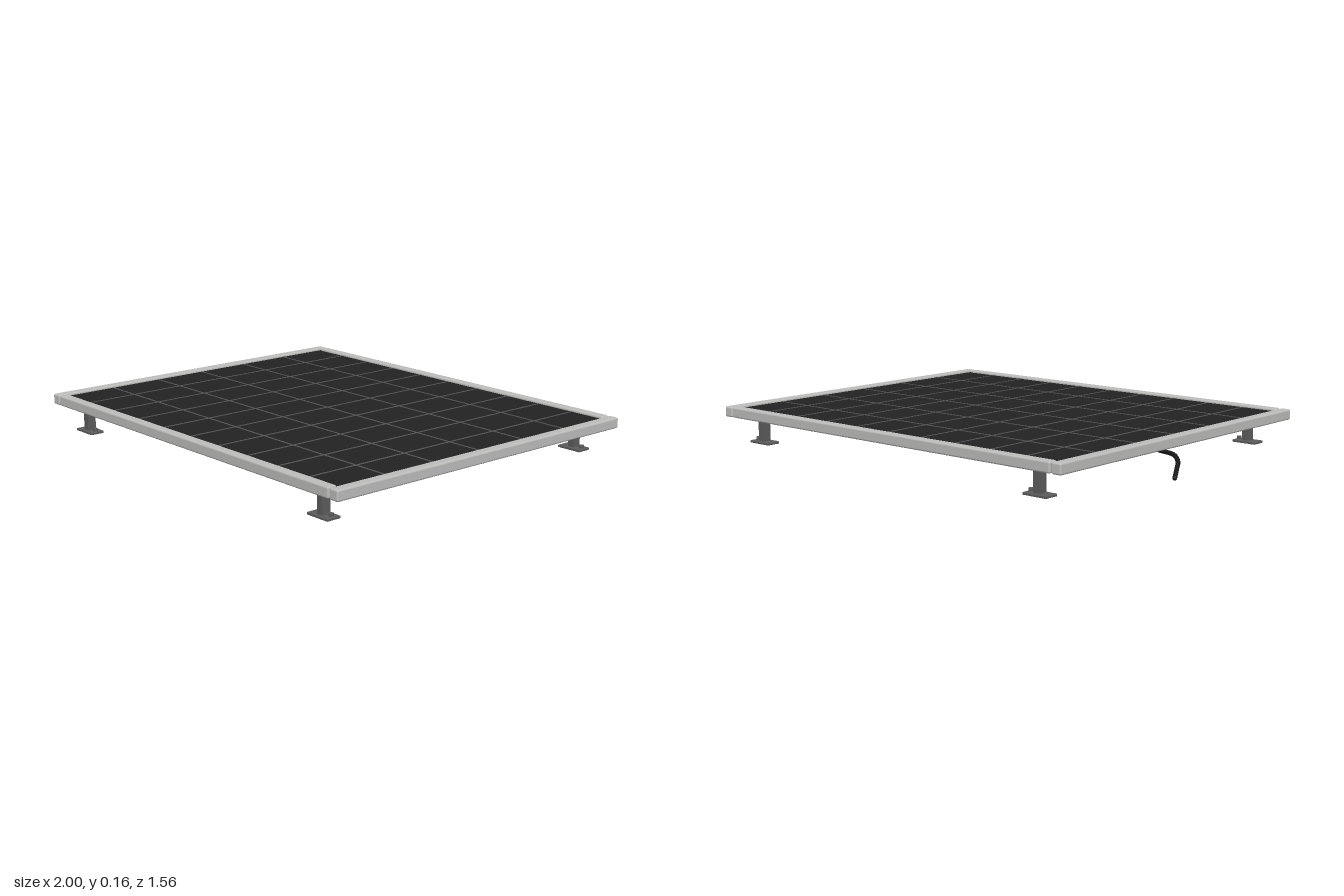
import * as THREE from 'three';
import { RoundedBoxGeometry } from 'three/addons/geometries/RoundedBoxGeometry.js';

const mat = (name, color) => {
  const m = new THREE.MeshStandardMaterial({ color });
  m.name = name;
  return m;
};

export function createModel() {
  const aluminium = mat('aluminium', 0xbcbdbb);
  const darkCell = mat('dark cell', 0x222222);
  const gridGrey = mat('grid grey', 0x555555);
  const steel = mat('dark steel', 0x5c5c5c);
  const rubber = mat('black rubber', 0x18181a);

  const model = new THREE.Group();
  model.name = 'solarPanel';
  const add = (name, geo, material, x, y, z, parent = model) => {
    const mesh = new THREE.Mesh(geo, material);
    mesh.name = name;
    mesh.position.set(x, y, z);
    parent.add(mesh);
    return mesh;
  };

  const cx = 0.045; // panel centre; the cable sticks out on -x
  const railY = 0.132, railH = 0.046;

  // Frame: two full-length side rails with two rails fitted between them
  for (const s of [-1, 1]) {
    add('sideRail', new RoundedBoxGeometry(0.046, railH, 1.56, 2, 0.008), aluminium, cx + s * 0.927, railY, 0);
    add('endRail', new RoundedBoxGeometry(1.796, railH, 0.044, 2, 0.008), aluminium, cx, railY, s * 0.758);
  }

  // Laminate, tucked slightly under the rails
  add('laminate', new THREE.BoxGeometry(1.84, 0.026, 1.492), darkCell, cx, 0.132, 0);

  // Grid lines between the cells (10 x 6)
  const lineY = 0.1455;
  for (let i = -4; i <= 4; i++)
    add('cellLineLong', new THREE.BoxGeometry(0.008, 0.002, 1.474), gridGrey, cx + i * 0.1835, lineY, 0);
  for (let j = -2; j <= 2; j++)
    add('cellLineCross', new THREE.BoxGeometry(1.808, 0.002, 0.008), gridGrey, cx, lineY, j * 0.2485);

  // Four mounting feet: post, base plate and bolt
  for (const x of [-0.74, 0.828]) {
    for (const z of [-0.7, 0.7]) {
      const foot = new THREE.Group();
      foot.name = 'mountingFoot';
      foot.position.set(x, 0, z);
      model.add(foot);
      add('post', new THREE.BoxGeometry(0.03, 0.112, 0.04), steel, 0, 0.064, 0, foot);
      add('basePlate', new RoundedBoxGeometry(0.116, 0.011, 0.066, 1, 0.003), steel, 0, 0.0055, 0, foot);
      add('bolt', new THREE.CylinderGeometry(0.01, 0.01, 0.014, 12), steel, 0.042, 0.017, 0, foot);
    }
  }

  // Junction box under the laminate
  add('junctionBox', new RoundedBoxGeometry(0.162, 0.05, 0.116, 2, 0.007), rubber, -0.43, 0.097, 0.002);

  // Cable leaving the box and drooping past the frame
  const path = new THREE.CatmullRomCurve3([
    [-0.48, 0.088, 0], [-0.65, 0.086, -0.02], [-0.82, 0.084, -0.055],
    [-0.9, 0.081, -0.078], [-0.942, 0.065, -0.11], [-0.968, 0.043, -0.155], [-0.992, 0.021, -0.2],
  ].map((p) => new THREE.Vector3(...p)));
  add('cable', new THREE.TubeGeometry(path, 48, 0.0095, 10), rubber, 0, 0, 0);
  const end = path.getPoint(1);
  add('cableTip', new THREE.SphereGeometry(0.0095, 10, 8), rubber, end.x, end.y, end.z);

  return model;
}
